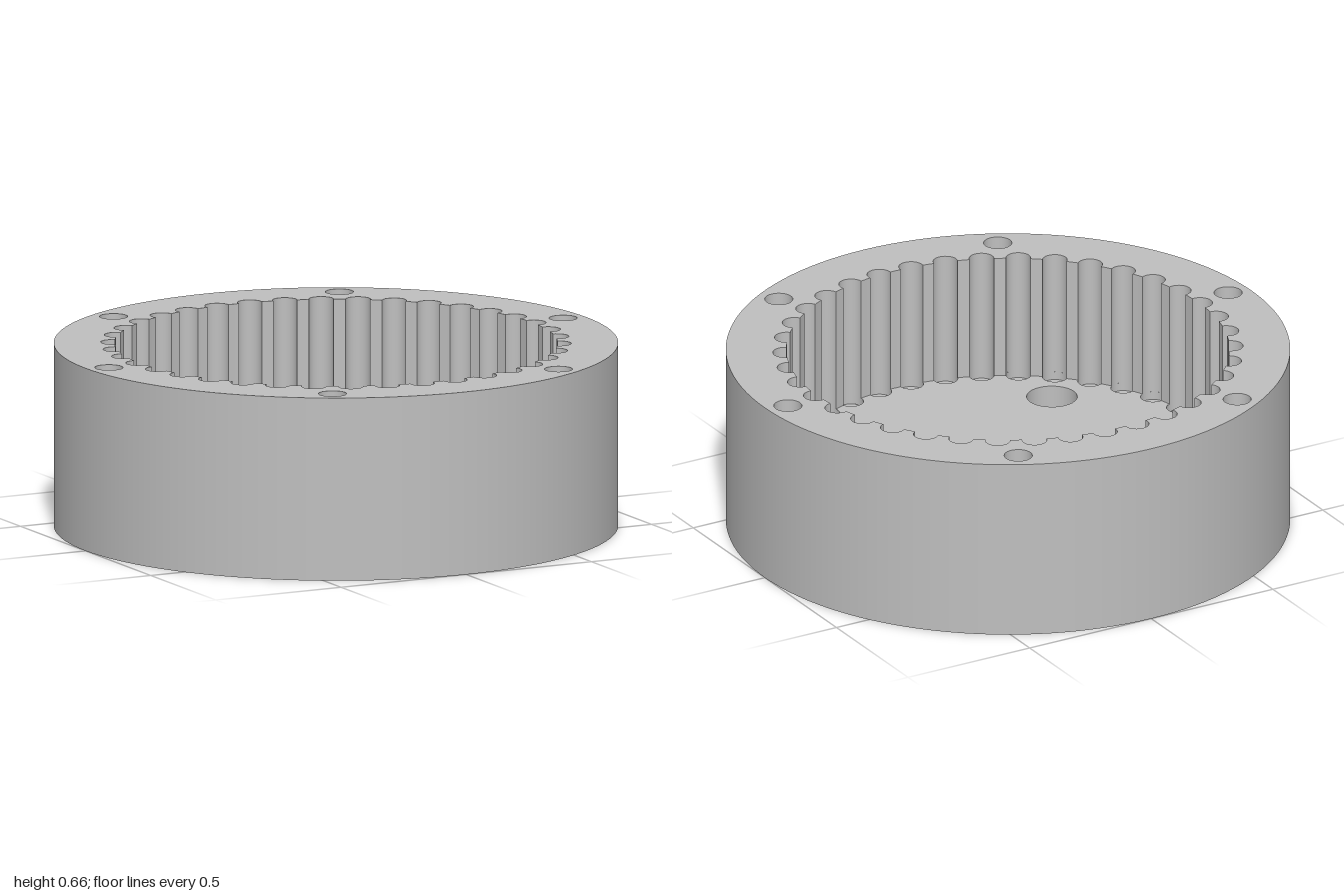
import * as THREE from 'three';

const HEIGHT = 0.66, FLOOR = 0.205, RECESS = 0.06;
const BORE = 0.785, PIN_R = 0.044, PIN_C = 0.79, PINS = 38;
const SOCKET_Y = 0.175, COUNTERBORE_Y = 0.105, RIM_STEP_Y = 0.205;

// Half angle of a socket seen from the axis, and of its arc about its own centre
const PHI = Math.acos((PIN_C ** 2 + BORE ** 2 - PIN_R ** 2) / (2 * PIN_C * BORE));
const ALPHA = Math.acos((BORE * Math.cos(PHI) - PIN_C) / PIN_R);

const corners = [[0.44, 0.44], [-0.44, 0.44], [-0.44, -0.44], [0.44, -0.44]];
const rimHoles = [[-0.48, -0.785], [0.435, -0.81], [0.92, -0.025],
  [0.48, 0.785], [-0.435, 0.81], [-0.92, 0.025]];

export function createModel() {
  const group = new THREE.Group();
  const grey = new THREE.MeshStandardMaterial({ color: 0xbfbfbf, side: THREE.DoubleSide });
  grey.name = 'grey metal';

  const add = (name, geometry) => {
    const mesh = new THREE.Mesh(geometry, grey);
    mesh.name = name;
    group.add(mesh);
    return mesh;
  };

  // Open upright cylinder wall, whole or part
  const wall = (name, x, z, r, y0, y1, segments = 32, start = 0, length = Math.PI * 2) => {
    const g = new THREE.CylinderGeometry(r, r, y1 - y0, segments, 1, true, start, length);
    add(name, g.translate(x, (y0 + y1) / 2, z));
  };

  // Flat horizontal face with holes; outline is a list of points or a circle [x, z, r]
  const circle = ([x, z, r], n) => Array.from({ length: n }, (_, i) => {
    const a = (i / n) * Math.PI * 2;
    return new THREE.Vector2(x + r * Math.cos(a), z + r * Math.sin(a));
  });
  const path = (p) => (typeof p[0] === 'number' ? circle(p, p[2] > 0.5 ? 128 : 32) : p);
  const face = (name, y, up, outline, holes = []) => {
    const flip = (p) => path(p).map((v) => new THREE.Vector2(v.x, up ? -v.y : v.y));
    const shape = new THREE.Shape(flip(outline));
    holes.forEach((h) => shape.holes.push(new THREE.Path(flip(h))));
    const g = new THREE.ShapeGeometry(shape);
    add(name, g.rotateX(up ? -Math.PI / 2 : Math.PI / 2).translate(0, y, 0));
  };

  // Bore outline that follows the outer or the inner arc of each pin socket
  const scallop = (outer) => {
    const points = [], end = outer ? ALPHA : ALPHA - Math.PI * 2;
    const step = (Math.PI * 2) / PINS;
    for (let i = 0; i < PINS; i++) {
      const t = i * step;
      for (let k = 0; k <= 16; k++) {
        const s = outer ? -ALPHA + (2 * ALPHA * k) / 16
          : -ALPHA - ((Math.PI * 2 - 2 * ALPHA) * k) / 16;
        points.push(new THREE.Vector2(
          PIN_C * Math.cos(t) + PIN_R * Math.cos(t + s),
          PIN_C * Math.sin(t) + PIN_R * Math.sin(t + s)));
      }
      for (let k = 1; k < 4; k++) {
        const a = t + PHI + ((step - 2 * PHI) * k) / 4;
        points.push(new THREE.Vector2(BORE * Math.cos(a), BORE * Math.sin(a)));
      }
    }
    return points;
  };

  const sized = (list, r) => list.map(([x, z]) => [x, z, r]);

  // Housing shell: outside wall, rim, floor and underside
  wall('outerWall', 0, 0, 1, 0, HEIGHT, 128);
  face('rimTop', HEIGHT, true, [0, 0, 1], [scallop(true), ...sized(rimHoles, 0.05)]);
  face('innerFloor', FLOOR, true, scallop(false), [[0, 0, 0.115], ...sized(corners, 0.09)]);
  face('underside', 0, false, [0, 0, 1],
    [[0, 0, 0.3155], ...sized(corners, 0.048), ...sized(rimHoles, 0.037)]);

  // Central shaft hole with a round recess underneath
  wall('shaftHole', 0, 0, 0.115, RECESS, FLOOR, 48);
  wall('recessWall', 0, 0, 0.3155, 0, RECESS, 64);
  face('recessCeiling', RECESS, false, [0, 0, 0.3155], [[0, 0, 0.115]]);

  // Pin sockets around the bore, with the lands between them
  const step = (Math.PI * 2) / PINS;
  for (let i = 0; i < PINS; i++) {
    const t = i * step, x = PIN_C * Math.sin(t + Math.PI / 2), z = PIN_C * Math.cos(t + Math.PI / 2);
    const a = t + Math.PI / 2;
    wall('pinSocket', x, z, PIN_R, FLOOR, HEIGHT, 16, a - ALPHA, 2 * ALPHA);
    wall('pinSeat', x, z, PIN_R, SOCKET_Y, FLOOR, 28);
    face('pinSeatBottom', SOCKET_Y, true, [x, z, PIN_R]);
    wall('boreLand', 0, 0, BORE, FLOOR, HEIGHT, 4, a + PHI, step - 2 * PHI);
  }

  // Stepped screw holes: wide above, narrow below
  const steppedHole = (name, x, z, wide, narrow, top, ledge) => {
    wall(name + 'Wide', x, z, wide, ledge, top);
    wall(name + 'Narrow', x, z, narrow, 0, ledge);
    face(name + 'Ledge', ledge, true, [x, z, wide], [[x, z, narrow]]);
  };
  corners.forEach(([x, z]) => steppedHole('floorHole', x, z, 0.09, 0.048, FLOOR, COUNTERBORE_Y));
  rimHoles.forEach(([x, z]) => steppedHole('rimHole', x, z, 0.05, 0.037, HEIGHT, RIM_STEP_Y));

  return group;
}
